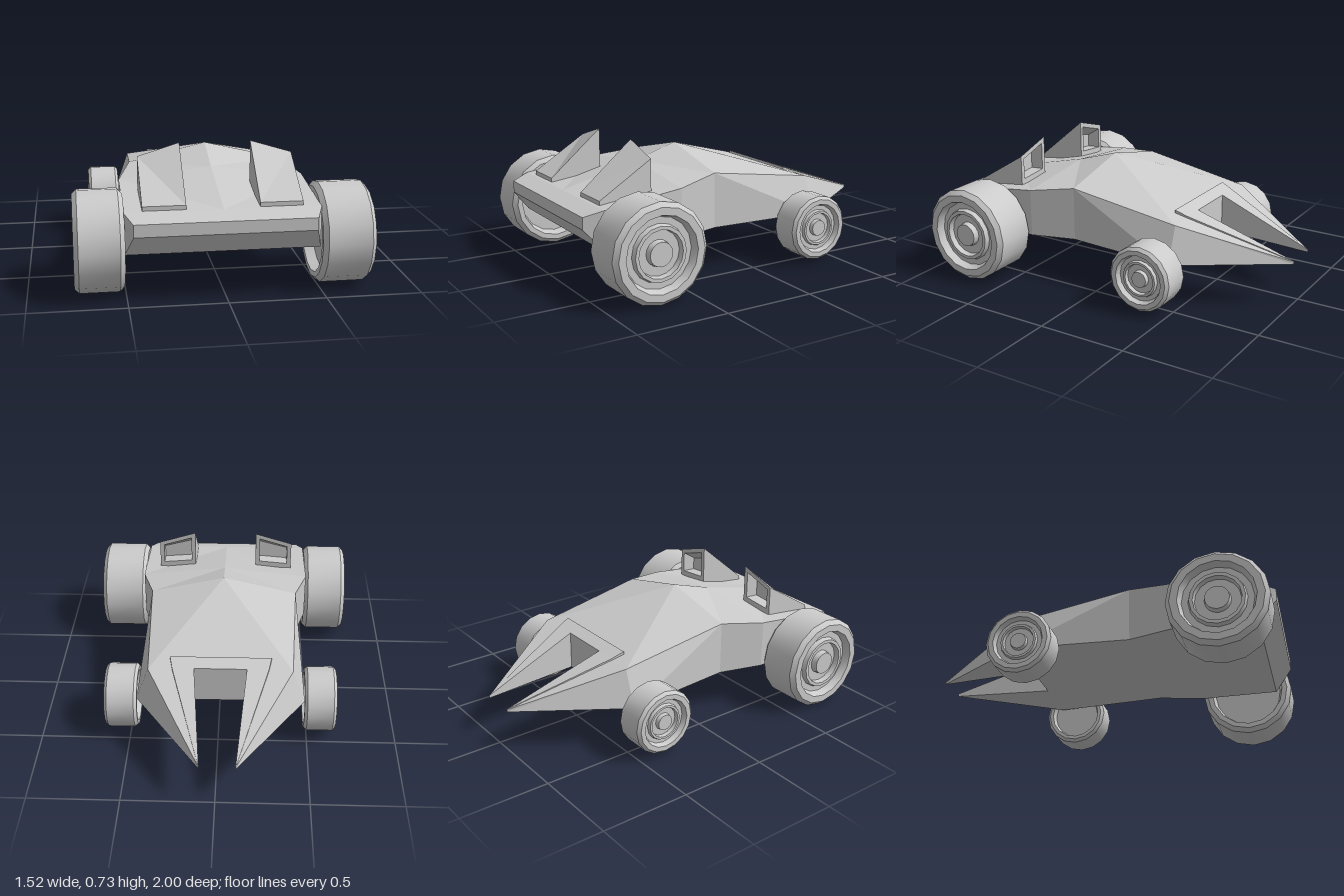
import * as THREE from 'three';
import { toCreasedNormals } from 'three/addons/utils/BufferGeometryUtils.js';

const flat = new THREE.MeshStandardMaterial({ color: 0xcccccc, flatShading: true });
const smooth = new THREE.MeshStandardMaterial({ color: 0xcccccc });

// Skins four-cornered sections from front (+z) to back and mirrors them in x.
// A section is { z, p: [inner bottom, outer bottom, outer top, inner top] }.
function mirroredLoft(sections) {
  const pos = [];
  const quad = (...c) => {
    for (const i of [0, 1, 2, 0, 2, 3]) pos.push(...c[i]);
    for (const i of [0, 2, 1, 0, 3, 2]) pos.push(-c[i][0], c[i][1], c[i][2]);
  };
  const rings = sections.map(({ z, p }) => p.map(([x, y]) => [x, y, z]));
  quad(...rings[0]);
  for (let s = 0; s < rings.length - 1; s++) {
    const a = rings[s], b = rings[s + 1];
    for (let i = 0; i < 4; i++) {
      const j = (i + 1) % 4;
      if (i === 3 && a[3][0] === 0 && b[3][0] === 0) continue; // centre plane
      quad(b[i], b[j], a[j], a[i]);
    }
  }
  quad(...rings.at(-1).slice().reverse());
  const g = new THREE.BufferGeometry();
  g.setAttribute('position', new THREE.Float32BufferAttribute(pos, 3));
  g.computeVertexNormals();
  return g;
}

// Section of a full-width part: bottom, side edge and centre ridge
const hull = (z, bottomY, bottomX, topX, edgeY, ridgeY) =>
  ({ z, p: [[0, bottomY], [bottomX, bottomY], [topX, edgeY], [0, ridgeY]] });
// Section of one prong beside the notch
const prong = (z, innerX, bottomY, bottomX, topX, topY) =>
  ({ z, p: [[innerX, bottomY], [bottomX, bottomY], [topX, topY], [innerX, topY]] });

// Wheel with a bevelled tyre, dished rim and raised hub; axis along x, outside at +x
function wheelGeometry(r, width) {
  const h = width / 2, b = 0.09 * r;
  const profile = [
    [0, -h + 0.2 * r], [0.74 * r, -h + 0.2 * r], [0.8 * r, -h], [r - b, -h],
    [r, -h + b], [r, h - b], [r - b, h],
    [0.76 * r, h], [0.7 * r, h - 0.16 * r], [0.57 * r, h - 0.16 * r],
    [0.54 * r, h - 0.06 * r], [0.47 * r, h - 0.06 * r], [0.45 * r, h - 0.18 * r],
    [0.26 * r, h - 0.18 * r], [0.24 * r, h - 0.05 * r], [0, h - 0.05 * r],
  ].map(([x, y]) => new THREE.Vector2(x, y));
  const g = new THREE.LatheGeometry(profile, 16);
  g.rotateZ(-Math.PI / 2);
  return toCreasedNormals(g, 0.5);
}

export function createModel() {
  const model = new THREE.Group();
  model.name = 'racer';
  const shell = new THREE.Group();
  shell.name = 'bodyShell';
  shell.position.x = -0.012;
  model.add(shell);

  const addShell = (name, sections) => {
    const mesh = new THREE.Mesh(mirroredLoft(sections), flat);
    mesh.name = name;
    shell.add(mesh);
  };

  // Wedge body with a low ridge
  addShell('body', [
    hull(1, 0.365, 0.458, 0.458, 0.43, 0.43),
    hull(0.9, 0.245, 0.498, 0.498, 0.46, 0.46),
    hull(0.45, 0.245, 0.498, 0.498, 0.515, 0.571),
    hull(0.2, 0.245, 0.425, 0.425, 0.55, 0.65),
    hull(-0.44, 0.245, 0.47, 0.398, 0.45, 0.45),
  ]);

  // Two long pointed prongs
  addShell('prongs', [
    prong(-0.44, 0.145, 0.245, 0.47, 0.398, 0.45),
    prong(-1, 0.095, 0.245, 0.098, 0.097, 0.258),
  ]);

  // Raised plate around the notch
  addShell('notchLip', [
    hull(-0.37, 0.44, 0.28, 0.28, 0.488, 0.488),
    hull(-0.44, 0.43, 0.265, 0.265, 0.46, 0.46),
  ]);
  addShell('prongRidges', [
    prong(-0.44, 0.145, 0.43, 0.265, 0.265, 0.46),
    prong(-1, 0.095, 0.25, 0.097, 0.097, 0.261),
  ]);

  // Wedge scoops, hollowed from the back
  const scoop = (z, x0, x1, y0, y1, topOuter, topInner) =>
    ({ z, p: [[x0, y0], [x1, y1], [x1, topOuter], [x0, topInner]] });
  addShell('scoops', [
    scoop(0.88, 0.187, 0.407, 0.455, 0.455, 0.485, 0.485),
    scoop(0.58, 0.187, 0.407, 0.47, 0.47, 0.67, 0.737),
    scoop(0.58, 0.212, 0.382, 0.545, 0.53, 0.65, 0.702),
    scoop(0.66, 0.212, 0.382, 0.54, 0.525, 0.6, 0.645),
  ]);

  // Wheels: name, inner x, outer x, radius, axle height, axle z
  for (const [name, inner, outer, r, y, z] of [
    ['largeWheelLeft', 0.484, 0.76, 0.267, 0.272, 0.722],
    ['largeWheelRight', -0.508, -0.762, 0.267, 0.272, 0.722],
    ['smallWheelLeft', 0.45, 0.633, 0.182, 0.207, -0.358],
    ['smallWheelRight', -0.478, -0.656, 0.182, 0.207, -0.358],
  ]) {
    const wheel = new THREE.Mesh(wheelGeometry(r, Math.abs(outer - inner)), smooth);
    wheel.name = name;
    wheel.position.set((inner + outer) / 2, y, z);
    if (outer < 0) wheel.rotation.y = Math.PI;
    model.add(wheel);
  }
  return model;
}
